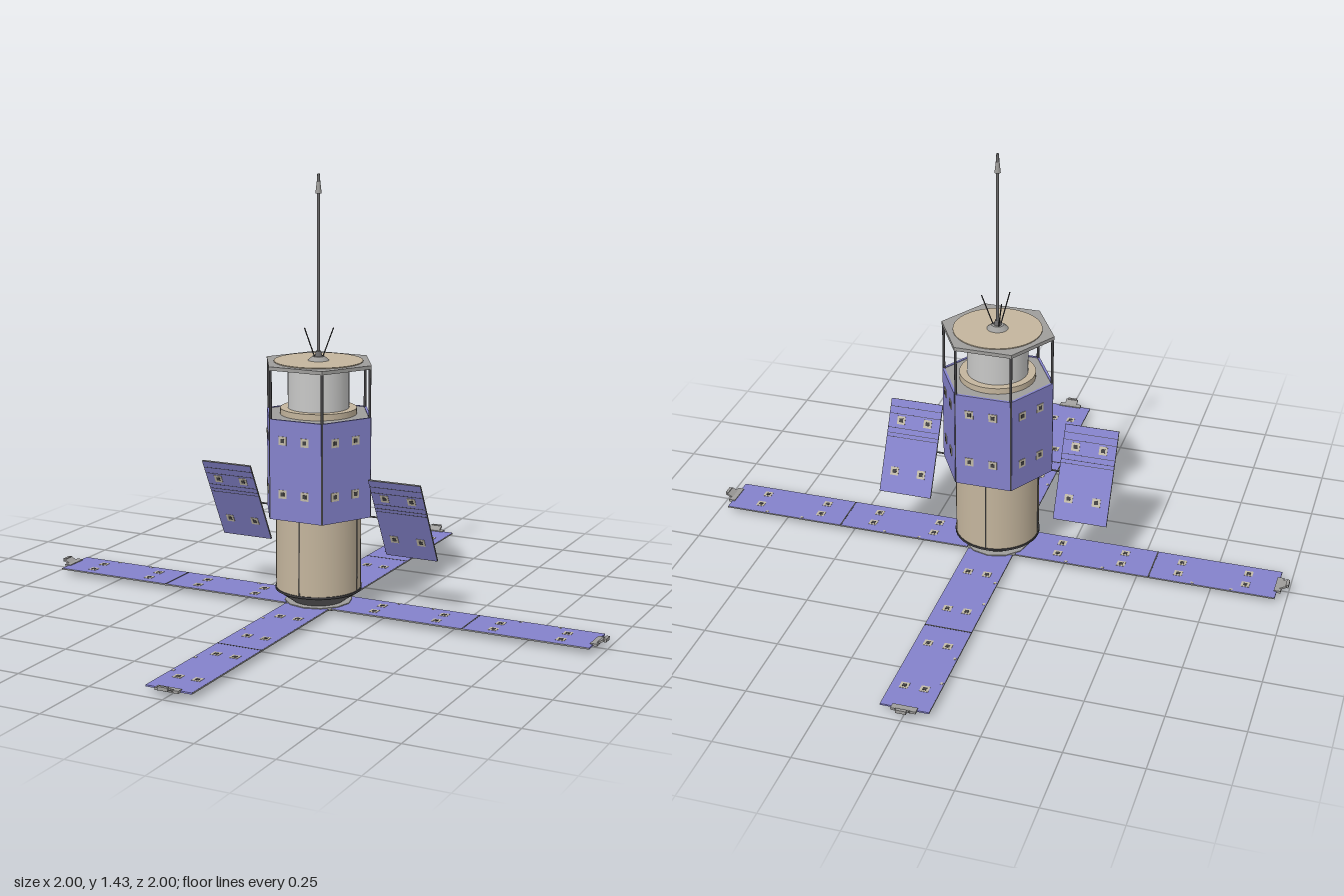
import * as THREE from 'three';

const mat = (name, color) => Object.assign(new THREE.MeshStandardMaterial({ color }), { name });
const solar = mat('solar purple', 0x8482cb);
const tan = mat('tan foil', 0xc4b59d);
const grey = mat('light grey', 0xc8c8c7);
const steel = mat('mid grey', 0x9e9d9b);
const slate = mat('slate grey', 0x6a696a);
const dark = mat('dark grey', 0x414042);
const pad = mat('pale beige', 0xc2baa8);

const HEX = 0.19, APOTHEM = HEX * Math.cos(Math.PI / 6);

export function createModel() {
  const root = new THREE.Group();
  root.name = 'spaceTelescope';

  const add = (parent, name, geo, material, x = 0, y = 0, z = 0) => {
    const m = new THREE.Mesh(geo, material);
    m.name = name;
    m.position.set(x, y, z);
    parent.add(m);
    return m;
  };
  const group = (name, parent = root) => {
    const g = new THREE.Group();
    g.name = name;
    parent.add(g);
    return g;
  };
  const box = (p, name, material, w, h, d, x = 0, y = 0, z = 0) =>
    add(p, name, new THREE.BoxGeometry(w, h, d), material, x, y, z);
  // Upright cylinder or cone between two heights
  const cyl = (p, name, material, rBottom, rTop, y0, y1, seg = 40) =>
    add(p, name, new THREE.CylinderGeometry(rTop, rBottom, y1 - y0, seg), material, 0, (y0 + y1) / 2, 0);
  // Hexagonal prism with corners on the x axis
  const hex = (p, name, material, r, y0, y1) =>
    add(p, name, new THREE.CylinderGeometry(r, r, y1 - y0, 6, 1, false, Math.PI / 2).toNonIndexed(), material, 0, (y0 + y1) / 2, 0)
      .geometry.computeVertexNormals();
  // Thin rod between two points
  const rod = (p, name, material, a, b, r) => {
    const A = new THREE.Vector3(...a), B = new THREE.Vector3(...b), d = B.clone().sub(A);
    const m = add(p, name, new THREE.CylinderGeometry(r, r, d.length(), 8), material);
    m.position.copy(A).add(B).multiplyScalar(0.5);
    m.quaternion.setFromUnitVectors(new THREE.Vector3(0, 1, 0), d.normalize());
  };
  // Pale fitting with a dark centre, lying in the xy plane
  const fitting = (p, x, y, z, depth = 0.004) => {
    box(p, 'fittingPlate', pad, 0.028, 0.028, depth, x, y, z);
    box(p, 'fittingCentre', dark, 0.013, 0.013, depth + 0.002, x, y, z);
  };

  // Lower body with thin seams, tapered base and engine
  cyl(root, 'lowerBody', tan, 0.14, 0.14, 0.066, 0.33);
  for (let i = 0; i < 4; i++) {
    const a = i * Math.PI / 2, x = Math.cos(a) * 0.14, z = Math.sin(a) * 0.14;
    rod(root, 'bodySeam', slate, [x, 0.07, z], [x, 0.326, z], 0.0018);
  }
  cyl(root, 'baseRim', dark, 0.143, 0.143, 0.064, 0.071);
  cyl(root, 'baseCone', slate, 0.085, 0.142, 0.024, 0.065);
  cyl(root, 'hubDisc', steel, 0.112, 0.112, 0.013, 0.025, 12);
  cyl(root, 'hubUnderside', steel, 0.07, 0.075, 0.008, 0.014);
  cyl(root, 'nozzle', steel, 0.034, 0.024, 0, 0.01);
  for (const [r, y] of [[0.052, 0.008], [0.095, 0.013]]) {
    const ring = add(root, 'hubRing', new THREE.TorusGeometry(r, 0.003, 8, 32), dark, 0, y, 0);
    ring.rotation.x = Math.PI / 2;
  }

  // Hexagonal core with six solar faces and corner struts
  hex(root, 'hexCore', steel, HEX - 0.006, 0.326, 0.653);
  for (let i = 0; i < 6; i++) {
    const face = group('solarFace');
    face.rotation.y = i * Math.PI / 3;
    box(face, 'facePanel', solar, HEX - 0.007, 0.33, 0.008, 0, 0.49, APOTHEM - 0.004);
    for (const x of [-0.046, 0.033]) for (const y of [0.412, 0.588]) fitting(face, x, y, APOTHEM);
    const a = i * Math.PI / 3, x = Math.cos(a) * (HEX - 0.006), z = Math.sin(a) * (HEX - 0.006);
    rod(root, 'cornerStrut', dark, [x, 0.325, z], [x, 0.815, z], 0.0045);
  }

  // Upper tube and sunshade
  cyl(root, 'tubeCollar', tan, 0.125, 0.125, 0.645, 0.673);
  cyl(root, 'upperTube', grey, 0.1, 0.1, 0.665, 0.817);
  hex(root, 'sunshade', steel, HEX, 0.813, 0.825);
  cyl(root, 'sunshadeDisc', tan, 0.145, 0.145, 0.823, 0.828);

  // Mast and whip antennas
  cyl(root, 'mastBase', steel, 0.035, 0.02, 0.828, 0.841, 20);
  cyl(root, 'mastSocket', slate, 0.013, 0.008, 0.84, 0.858, 12);
  cyl(root, 'mast', slate, 0.005, 0.005, 0.836, 1.375, 10);
  cyl(root, 'mastCollar', steel, 0.01, 0.006, 1.367, 1.403, 12);
  cyl(root, 'mastTip', slate, 0.006, 0.004, 1.4, 1.43, 10);
  for (let i = 0; i < 3; i++) {
    const a = i * Math.PI * 2 / 3, c = Math.cos(a), s = Math.sin(a);
    rod(root, 'whipAntenna', dark, [c * 0.012, 0.832, s * 0.012], [c * 0.054, 0.938, s * 0.054], 0.002);
  }

  // Four long wings crossing beneath the body
  for (let i = 0; i < 4; i++) {
    const wing = group('crossWing');
    wing.rotation.y = i * Math.PI / 2;
    for (const [x0, x1] of [[0.085, 0.542], [0.546, 0.965]])
      box(wing, 'wingPanel', solar, x1 - x0, 0.005, 0.155, (x0 + x1) / 2, 0.0195, 0);
    box(wing, 'wingHinge', dark, 0.005, 0.006, 0.155, 0.544, 0.0195, 0);
    for (const s of [-1, 1]) box(wing, 'wingEdge', steel, 0.88, 0.0045, 0.001, 0.525, 0.0195, s * 0.0778);
    // Fittings and small clips on the upper face
    const details = group('wingFittings', wing);
    details.rotation.x = -Math.PI / 2;
    const f = i < 2 ? 1 : -1;
    for (const x of [0.22, 0.44, 0.635, 0.86]) for (const y of [0.029, -0.036]) fitting(details, x, f * y, 0.021);
    for (const x of [0.26, 0.385, 0.69, 0.82]) box(details, 'wingClip', pad, 0.01, 0.008, 0.003, x, f * 0.07, 0.0215);
    // Raised end bracket
    box(wing, 'endBase', steel, 0.022, 0.008, 0.08, 0.967, 0.021, 0);
    const arm = box(wing, 'endArm', steel, 0.026, 0.006, 0.045, 0.982, 0.027, 0);
    arm.rotation.z = 0.5;
    box(wing, 'endTip', steel, 0.01, 0.011, 0.034, 0.995, 0.032, 0);
  }

  // Two tilted side panels on short arms
  for (const s of [-1, 1]) {
    rod(root, 'panelArm', slate, [s * 0.14, 0.327, 0], [s * 0.225, 0.327, 0], 0.003);
    const panel = group('sidePanel');
    panel.position.set(s * 0.305, 0.327, 0);
    panel.rotation.x = 0.477;
    box(panel, 'panelSheet', solar, 0.18, 0.316, 0.006);
    for (const e of [-1, 1]) {
      box(panel, 'panelSideEdge', slate, 0.001, 0.318, 0.006, e * 0.0905, 0, 0);
      box(panel, 'panelEndEdge', slate, 0.18, 0.001, 0.006, 0, e * 0.1585, 0);
    }
    for (const y of [0.133, 0.109, 0.061, 0.043, 0.03]) box(panel, 'panelSeam', dark, 0.178, 0.0016, 0.007, 0, y, 0);
    for (const x of [-0.047, 0.047]) for (const y of [-0.085, 0.088]) fitting(panel, x, y, 0, 0.009);
  }
  return root;
}
